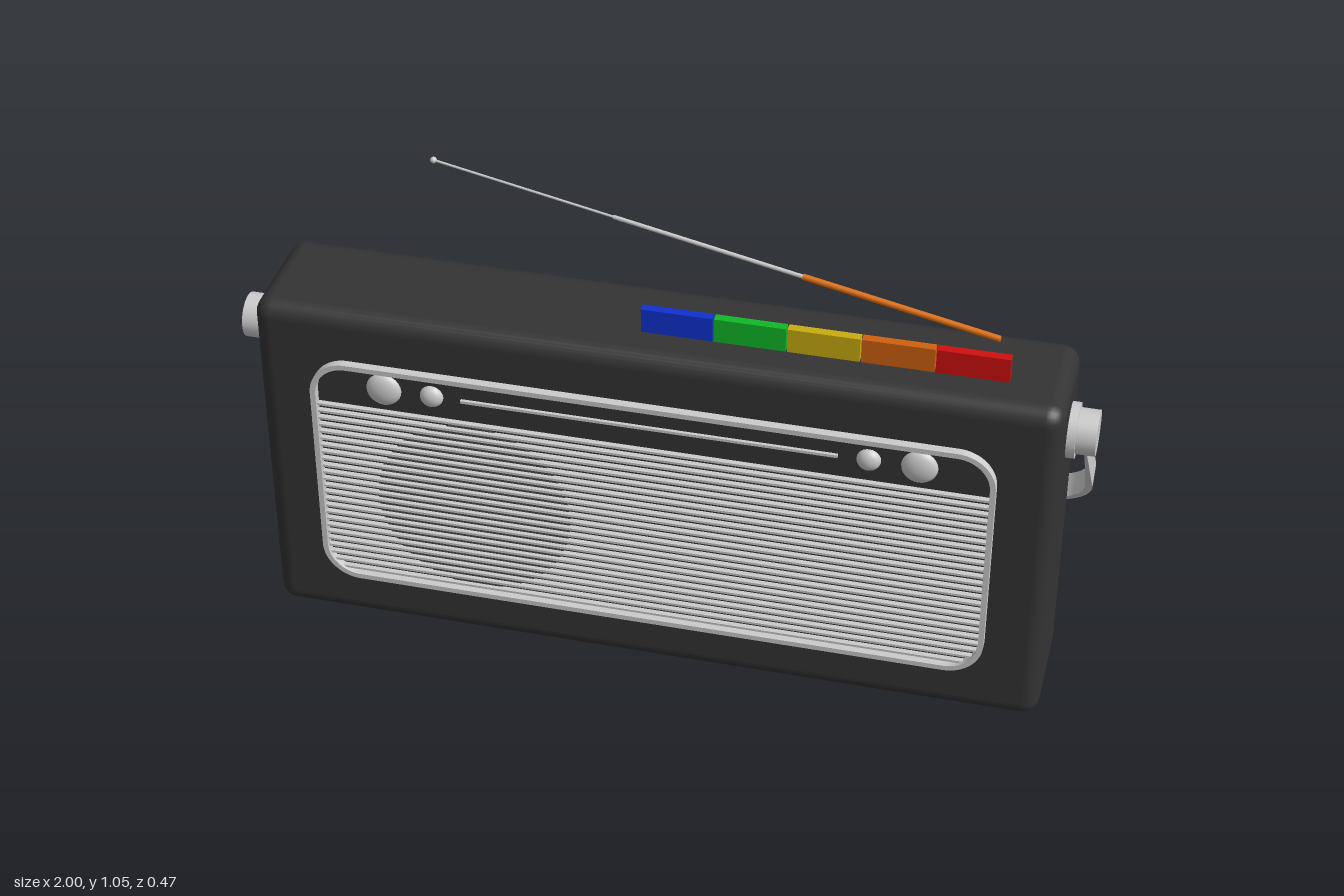
import * as THREE from 'three';
import { RoundedBoxGeometry } from 'three/addons/geometries/RoundedBoxGeometry.js';

const mat = (color) => new THREE.MeshStandardMaterial({ color });
const grey = mat(0xcccccc);
const black = mat(0x333333);
const orange = mat(0xe07010);

function add(parent, name, geometry, material, x = 0, y = 0, z = 0) {
  const mesh = new THREE.Mesh(geometry, material);
  mesh.name = name;
  mesh.position.set(x, y, z);
  parent.add(mesh);
  return mesh;
}

// Rounded rectangle centred on the origin
function roundedRect(Type, w, h, r) {
  const p = new Type();
  const x = w / 2 - r, y = h / 2 - r;
  p.absarc(x, y, r, 0, Math.PI / 2);
  p.absarc(-x, y, r, Math.PI / 2, Math.PI);
  p.absarc(-x, -y, r, Math.PI, Math.PI * 1.5);
  p.absarc(x, -y, r, Math.PI * 1.5, Math.PI * 2);
  p.closePath();
  return p;
}

// Cylinder between two points
function rod(parent, name, a, b, radius, material) {
  const dir = b.clone().sub(a);
  const mesh = add(parent, name, new THREE.CylinderGeometry(radius, radius, dir.length(), 16), material);
  mesh.position.copy(a).lerp(b, 0.5);
  mesh.quaternion.setFromUnitVectors(new THREE.Vector3(0, 1, 0), dir.normalize());
}

function createFrontPanel() {
  const panel = new THREE.Group();
  panel.name = 'frontPanel';

  // Raised trim frame
  const w = 1.6, h = 0.625, r = 0.09, cy = 0.4425, rim = 0.013;
  const shape = roundedRect(THREE.Shape, w, h, r);
  shape.holes.push(roundedRect(THREE.Path, w - 2 * rim, h - 2 * rim, r - rim));
  add(panel, 'trimFrame', new THREE.ExtrudeGeometry(shape, { depth: 0.025, bevelEnabled: false, curveSegments: 8 }),
    grey, 0, cy, 0.215);

  // Grille bars, shortened where they meet the rounded corners
  const bottom = cy - h / 2;
  for (let y = bottom + 0.024; y < 0.645; y += 0.0198) {
    const drop = Math.max(0, bottom + r - y);
    const half = w / 2 - r + Math.sqrt(r * r - drop * drop) - 0.006;
    add(panel, 'grilleBar', new THREE.BoxGeometry(half * 2, 0.006, 0.016), grey, 0, y, 0.224);
  }

  // Speaker behind the grille
  const speaker = add(panel, 'speaker', new THREE.CylinderGeometry(0.235, 0.235, 0.006, 48), grey, -0.42, 0.385, 0.219);
  speaker.rotation.x = Math.PI / 2;
  speaker.material = mat(0x484848);

  // Tuning scale and domed knobs
  add(panel, 'tuningScale', new THREE.BoxGeometry(0.88, 0.007, 0.01), grey, 0, 0.69, 0.222);
  for (const side of [-1, 1]) {
    for (const [x, radius] of [[0.625, 0.042], [0.51, 0.028]]) {
      const dome = new THREE.SphereGeometry(radius, 24, 8, 0, Math.PI * 2, 0, Math.PI / 2);
      const knob = add(panel, 'knob', dome, grey, side * x, 0.69, 0.219);
      knob.rotation.x = Math.PI / 2;
      knob.scale.y = 0.02 / radius;
    }
  }
  return panel;
}

function createHandle() {
  const handle = new THREE.Group();
  handle.name = 'handle';
  handle.position.set(0, 0.745, 0.075);
  handle.rotation.x = 0.605;

  // U-shaped metal strap
  const s = new THREE.Shape();
  const x = 0.845, y = -0.292, outer = 0.145, inner = 0.128;
  s.moveTo(x + outer, 0.03);
  s.absarc(x, y, outer, 0, -Math.PI / 2, true);
  s.absarc(-x, y, outer, -Math.PI / 2, -Math.PI, true);
  s.lineTo(-x - outer, 0.03);
  s.lineTo(-x - inner, 0.03);
  s.absarc(-x, y, inner, Math.PI, Math.PI * 1.5, false);
  s.absarc(x, y, inner, -Math.PI / 2, 0, false);
  s.lineTo(x + inner, 0.03);
  s.closePath();
  add(handle, 'strap', new THREE.ExtrudeGeometry(s, { depth: 0.058, bevelEnabled: false, curveSegments: 12 }),
    grey, 0, 0, -0.029);

  // Chamfered grip wrapped round the strap
  const g = new THREE.Shape([
    [0.032, -0.034], [0.032, 0.034], [0.014, 0.066], [-0.014, 0.066],
    [-0.032, 0.034], [-0.032, -0.034], [-0.014, -0.066], [0.014, -0.066],
  ].map(([a, b]) => new THREE.Vector2(a, b)));
  const grip = new THREE.ExtrudeGeometry(g, { depth: 1.5, bevelEnabled: false });
  grip.translate(0, 0, -0.75);
  grip.rotateY(Math.PI / 2); // extrusion along x
  grip.rotateX(Math.PI / 2); // flat side across the strap
  grip.rotateX(-Math.PI / 2);
  // Section axes: width along z, thickness along y
  const p = grip.attributes.position;
  for (let i = 0; i < p.count; i++) p.setXYZ(i, p.getX(i), -p.getZ(i), p.getY(i));
  grip.computeVertexNormals();
  add(handle, 'grip', grip, black, 0, -0.428, 0);
  return handle;
}

export function createModel() {
  const radio = new THREE.Group();
  radio.name = 'radio';

  add(radio, 'body', new RoundedBoxGeometry(1.87, 0.88, 0.305, 3, 0.042), black, 0, 0.44, 0.0665);
  radio.add(createFrontPanel(), createHandle());

  // Handle pivots
  for (const side of [-1, 1]) {
    for (const [name, r, x0, x1] of [['pivotCollar', 0.064, 0.925, 0.955], ['pivotCap', 0.053, 0.95, 1]]) {
      const disc = add(radio, name, new THREE.CylinderGeometry(r, r, x1 - x0, 32), grey,
        side * (x0 + x1) / 2, 0.745, 0.075);
      disc.rotation.z = Math.PI / 2;
    }
  }

  // Row of coloured push buttons
  [0x1030d0, 0x10b828, 0xc8ac10, 0xd06010, 0xd01010].forEach((color, i) => {
    add(radio, 'button', new THREE.BoxGeometry(0.165, 0.065, 0.022), mat(color), 0.044 + i * 0.168, 0.9075, 0.109);
  });

  // Telescopic aerial
  const base = new THREE.Vector3(0.76, 0.922, 0.018);
  const tip = new THREE.Vector3(-0.628, 1.043, -0.226);
  const at = (t) => base.clone().lerp(tip, t);
  rod(radio, 'aerialBase', base, at(0.335), 0.0075, orange);
  rod(radio, 'aerialMiddle', at(0.33), at(0.67), 0.005, grey);
  rod(radio, 'aerialEnd', at(0.665), tip, 0.003, grey);
  add(radio, 'aerialTip', new THREE.SphereGeometry(0.008, 16, 12), grey, tip.x, tip.y, tip.z);
  return radio;
}
